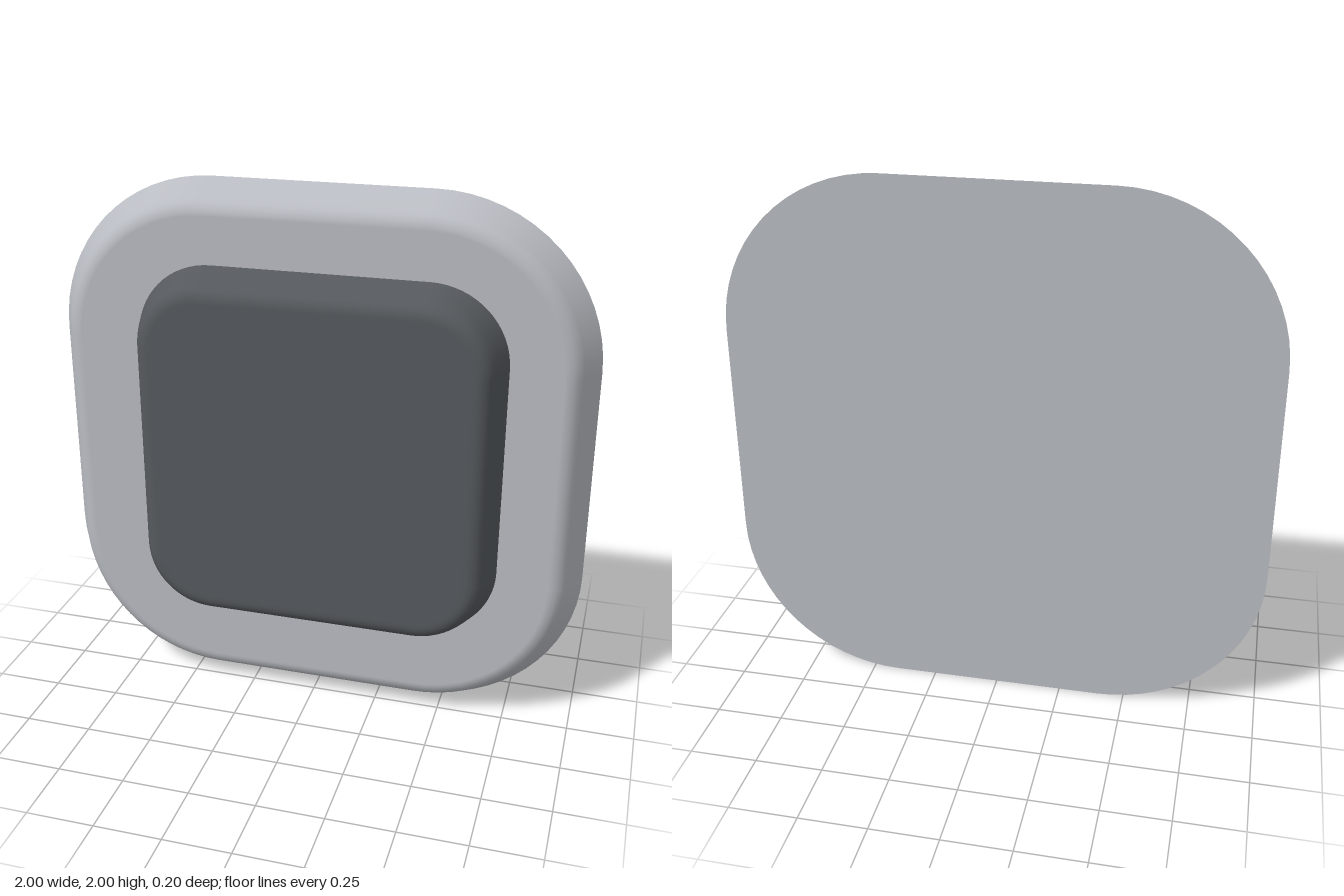
import * as THREE from 'three';

const CORE = 0.4; // half length of the straight run on each side
const STEPS = 16; // segments per rounded corner

// Rounded-square outline, counter-clockwise seen from the front
function outline(half) {
  const r = half - CORE;
  const pts = [];
  for (let c = 0; c < 4; c++) {
    const mid = Math.PI / 4 + (c * Math.PI) / 2;
    const cx = CORE * Math.sign(Math.cos(mid));
    const cy = CORE * Math.sign(Math.sin(mid));
    for (let i = 0; i <= STEPS; i++) {
      const a = (c + i / STEPS) * Math.PI / 2;
      pts.push(new THREE.Vector2(cx + r * Math.cos(a), cy + r * Math.sin(a)));
    }
  }
  return pts;
}

// Smooth wall lofted through [half size, z] rings from back to front
function wall(profile) {
  const pos = [], index = [];
  const n = 4 * (STEPS + 1);
  profile.forEach(([half, z], i) => {
    outline(half).forEach((p, j) => {
      pos.push(p.x, p.y, z);
      if (i === profile.length - 1) return;
      const a = i * n + j, b = i * n + ((j + 1) % n);
      index.push(a, b, b + n, a, b + n, a + n);
    });
  });
  const g = new THREE.BufferGeometry();
  g.setAttribute('position', new THREE.Float32BufferAttribute(pos, 3));
  g.setIndex(index);
  g.computeVertexNormals();
  return g;
}

// Flat rounded-square face, turned to the front or the back
function face(half, z, back = false) {
  const g = new THREE.ShapeGeometry(new THREE.Shape(outline(half)));
  if (back) g.rotateY(Math.PI);
  return g.translate(0, 0, z);
}

export function createModel() {
  const grey = new THREE.MeshStandardMaterial({ name: 'light grey', color: 0xb8bbc1 });
  const dark = new THREE.MeshStandardMaterial({ name: 'dark grey', color: 0x55595d });

  const model = new THREE.Group();
  model.name = 'wallButton';
  const add = (name, geometry, material, parent) => {
    const m = new THREE.Mesh(geometry, material);
    m.name = name;
    parent.add(m);
  };

  // Sloped housing with a soft front lip around the open face
  const housing = new THREE.Group();
  housing.name = 'housing';
  add('rim', wall([
    [1, -0.1], [0.947, -0.01], [0.94, 0], [0.93, 0.013],
    [0.915, 0.024], [0.897, 0.03], [0.885, 0.03], [0.87, 0.03],
  ]), grey, housing);
  add('floor', face(0.965, -0.05), grey, housing);
  add('backPlate', face(1, -0.1, true), grey, housing);

  // Raised push button standing on the floor
  const button = new THREE.Group();
  button.name = 'button';
  add('buttonSide', wall([
    [0.69, -0.05], [0.662, 0.035], [0.652, 0.06], [0.643, 0.077],
    [0.63, 0.09], [0.615, 0.097], [0.6, 0.1], [0.585, 0.1],
  ]), dark, button);
  add('buttonFace', face(0.585, 0.1), dark, button);

  model.add(housing, button);
  model.position.y = 1;
  const root = new THREE.Group();
  root.name = 'model';
  root.add(model);
  return root;
}
